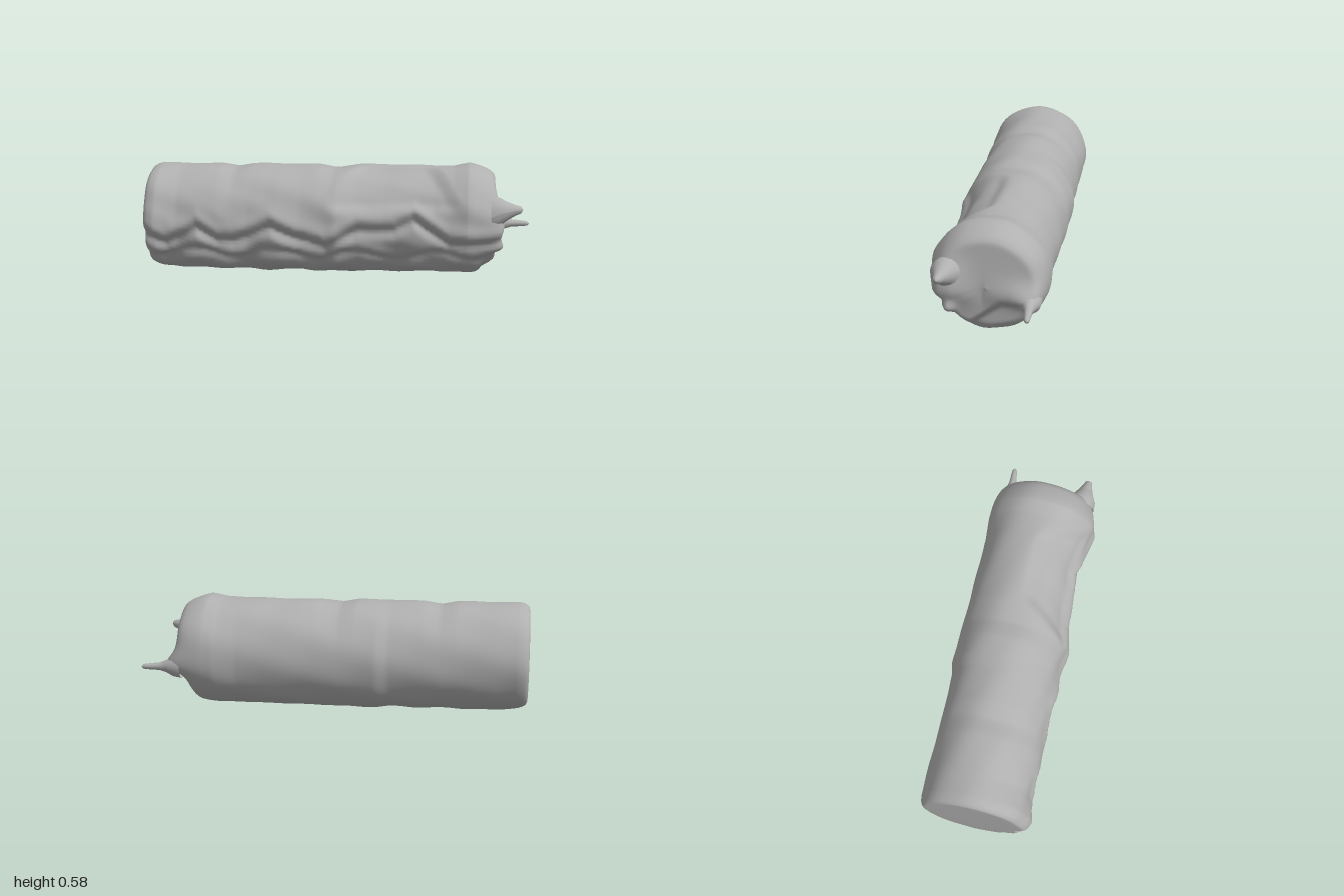
import * as THREE from 'three';

const SIDES = 96;
const bump = (d, w) => Math.exp(-(d * d) / (w * w));

// Linear lookup in a list of [x, value] points
function lookup(points, x) {
  if (x <= points[0][0]) return points[0][1];
  for (let i = 1; i < points.length; i++) {
    const [x0, a] = points[i - 1], [x1, b] = points[i];
    if (x <= x1) return a + (b - a) * (x - x0) / (x1 - x0);
  }
  return points[points.length - 1][1];
}

// Outline of the log: front, back, top and bottom limits along its length
const front = [[-1, 0.29], [-0.93, 0.3], [-0.82, 0.275], [-0.6, 0.28], [-0.45, 0.265], [-0.3, 0.275],
  [-0.18, 0.265], [0, 0.28], [0.1, 0.255], [0.25, 0.24], [0.5, 0.24], [0.68, 0.272], [0.85, 0.25]];
const back = [[-1, -0.258], [-0.5, -0.265], [-0.28, -0.27], [-0.22, -0.287], [0.5, -0.287], [0.62, -0.304], [0.85, -0.3]];
const top = [[-1, 0.565], [-0.62, 0.565], [-0.54, 0.553], [-0.46, 0.565], [-0.1, 0.565], [-0.02, 0.552],
  [0.1, 0.565], [0.6, 0.565], [0.68, 0.58], [0.74, 0.572], [0.85, 0.56]];
const bottom = [[-1, 0.02], [-0.8, 0.008], [-0.4, 0.006], [0, 0.003], [0.6, 0.008], [0.85, 0.02]];
// Height of the zigzag crack in the bark on the front
const crack = [[-1, 0.24], [-0.87, 0.18], [-0.71, 0.27], [-0.6, 0.2], [-0.52, 0.2], [-0.33, 0.28], [-0.2, 0.22],
  [-0.05, 0.18], [0.12, 0.27], [0.3, 0.27], [0.4, 0.33], [0.58, 0.2], [0.7, 0.2]];

// Change of radius from the bark relief
function relief(x, a, y) {
  const facing = Math.max(0, Math.cos(a - 0.1));
  const lower = Math.max(0, Math.cos(a + 0.65));
  const line = lookup(crack, x);
  let d = -0.028 * bump(y - line + 0.02, 0.03) * facing;
  d += 0.012 * bump(y - line - 0.045, 0.035) * facing;
  d -= 0.022 * bump(y - 0.11 - 0.025 * Math.sin(x * 15), 0.025) * lower;
  d += 0.007 * lower * Math.sin(x * 23 + a * 4) * Math.sin(a * 7 - x * 5);
  d += 0.003 * Math.sin(x * 17 + a * 3) * Math.sin(a * 5 - x * 7);
  // Shallow trapezoid scar on the upper front
  const up = THREE.MathUtils.clamp((a - 0.4) / 1.1, 0, 1);
  const half = 0.31 - 0.14 * up;
  const inX = 1 - THREE.MathUtils.smoothstep(Math.abs(x - 0.3), half - 0.05, half + 0.04);
  const inA = THREE.MathUtils.smoothstep(a, 0.2, 0.45) * (1 - THREE.MathUtils.smoothstep(a, 1.25, 1.55));
  return d - 0.022 * inX * inA;
}

// Offset of the broken face along the log
function breakOffset(y, z) {
  let d = 0.03 * bump(y - 0.25, 0.07) * Math.min(1, Math.abs(z) / 0.15);
  d += 0.035 * bump(Math.hypot(y - 0.17, z - 0.165), 0.035);
  d += 0.03 * bump(Math.hypot(y - 0.34, z - 0.16), 0.09);
  d += 0.03 * bump(Math.hypot(y - 0.24, z + 0.22), 0.06);
  const edge = lookup([[-0.25, 0.23], [-0.09, 0.22], [0.07, 0.09], [0.17, 0.15]], z);
  return d - 0.045 * THREE.MathUtils.smoothstep(edge - y, -0.015, 0.05);
}

// Log body: rings of [x, scale], with a sawn left end and a broken right end
function logGeometry() {
  const rings = [[-0.99, 0], [-0.99, 0.5], [-0.99, 0.88], [-0.988, 0.91], [-0.98, 0.95], [-0.965, 0.98], [-0.94, 1]];
  const steps = 120;
  for (let i = 1; i <= steps; i++) rings.push([-0.94 + 1.62 * i / steps, 1]);
  rings.push([0.71, 0.99], [0.74, 0.97], [0.77, 0.94], [0.79, 0.9], [0.805, 0.85]);
  for (let s = 0.8; s > 0.02; s -= 0.05) rings.push([0.81 + 0.02 * (0.8 - s), s]);
  rings.push([0.828, 0]);

  const pos = [], index = [];
  rings.forEach(([x, s], i) => {
    const f = lookup(front, x), b = lookup(back, x), t = lookup(top, x), u = lookup(bottom, x);
    const cy = (t + u) / 2, cz = (f + b) / 2;
    for (let j = 0; j < SIDES; j++) {
      let a = (j / SIDES) * Math.PI * 2;
      if (a > Math.PI) a -= Math.PI * 2;
      const ry = (t - u) / 2, rz = (f - b) / 2;
      const k = 1 + relief(x, a, cy + ry * Math.sin(a)) / ry;
      const y = Math.max(0, cy + ry * s * k * Math.sin(a));
      const z = cz + rz * s * k * Math.cos(a);
      const broken = x > 0.68 ? THREE.MathUtils.smoothstep(x, 0.7, 0.81) * breakOffset(y, z) : 0;
      pos.push(x + broken, y, z);
      if (i < rings.length - 1) {
        const p = i * SIDES + j, q = i * SIDES + (j + 1) % SIDES;
        index.push(p, p + SIDES, q, q, p + SIDES, q + SIDES);
      }
    }
  });
  const g = new THREE.BufferGeometry();
  g.setAttribute('position', new THREE.Float32BufferAttribute(pos, 3));
  g.setIndex(index);
  g.computeVertexNormals();
  return g;
}

// Splinter: flared spike whose axis slides from base to tip
function splinterGeometry(base, tip, profile) {
  const g = new THREE.LatheGeometry(profile.map(([r, h]) => new THREE.Vector2(r, h)), 20);
  const p = g.attributes.position;
  for (let i = 0; i < p.count; i++) {
    const t = p.getY(i), e = Math.sqrt(t);
    p.setXYZ(i,
      base[0] + (tip[0] - base[0]) * t,
      base[1] + (tip[1] - base[1]) * e + p.getX(i),
      base[2] + (tip[2] - base[2]) * e + p.getZ(i));
  }
  g.computeVertexNormals();
  return g;
}

export function createModel() {
  const group = new THREE.Group();
  group.name = 'brokenLog';
  const wood = new THREE.MeshStandardMaterial({ color: 0xb0b0b0 });
  wood.name = 'greyWood';
  wood.side = THREE.DoubleSide;

  const add = (name, geometry) => {
    const mesh = new THREE.Mesh(geometry, wood);
    mesh.name = name;
    group.add(mesh);
  };

  add('logBody', logGeometry());
  add('frontSplinter', splinterGeometry([0.79, 0.335, 0.15], [0.95, 0.37, 0.185],
    [[0.095, 0], [0.075, 0.25], [0.048, 0.5], [0.028, 0.75], [0.018, 0.93], [0, 1]]));
  add('backSplinter', splinterGeometry([0.79, 0.24, -0.215], [1, 0.23, -0.245],
    [[0.07, 0], [0.055, 0.2], [0.032, 0.38], [0.02, 0.55], [0.016, 0.8], [0.012, 0.95], [0, 1]]));
  return group;
}
